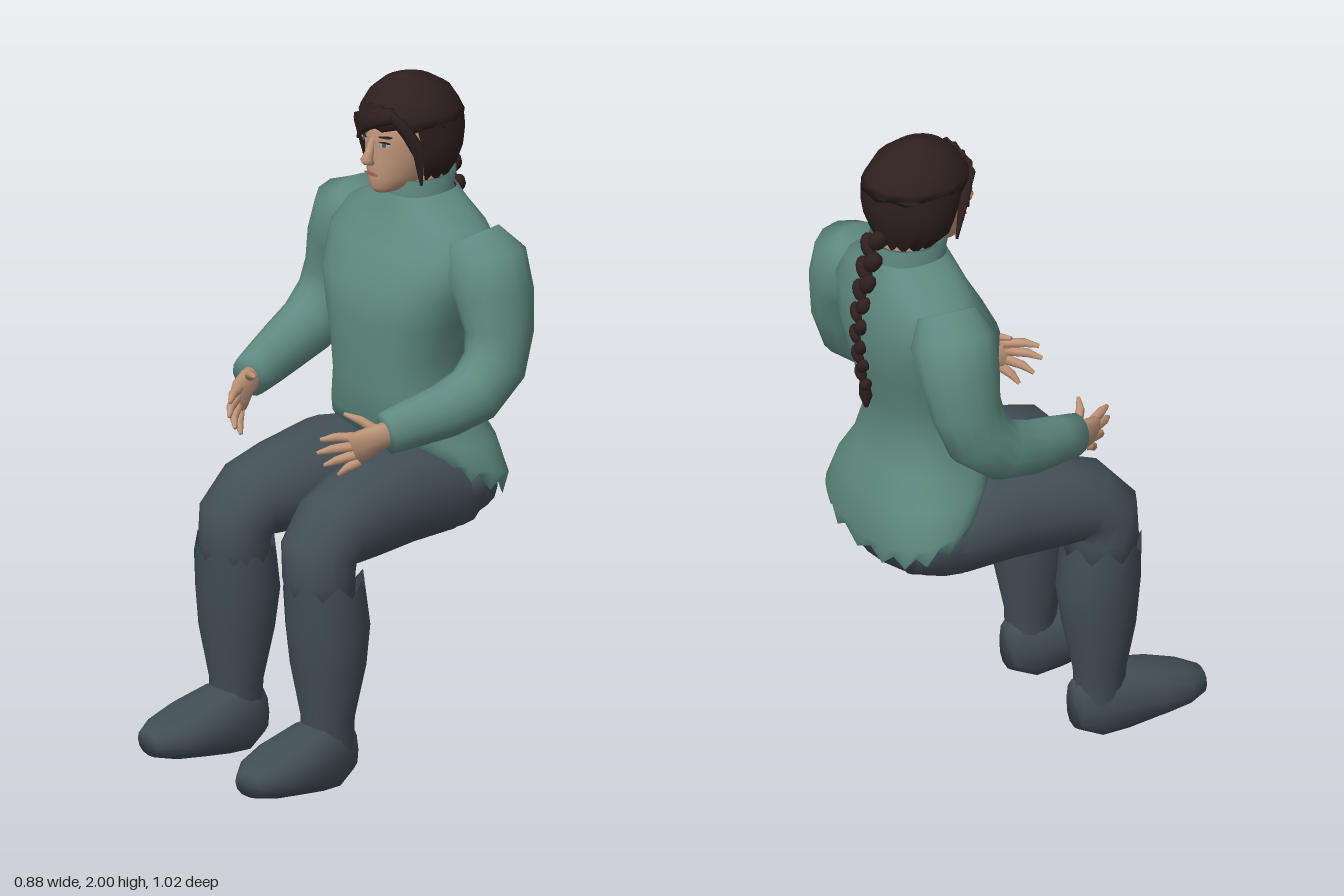
import * as THREE from 'three';

const mat = (name, color, side = THREE.FrontSide) => {
  const m = new THREE.MeshStandardMaterial({ color, side });
  m.name = name;
  return m;
};

// Skin rings [x, y, z, ru, rv, tilt, jag] into a smooth body. Flat rings lie level; others follow the path.
function loft(rings, { n = 14, flat = false, arc = null, exp = 2, caps = true } = {}) {
  const pos = [], idx = [], cols = arc ? n + 1 : n;
  const C = rings.map(r => new THREE.Vector3(r[0], r[1], r[2]));
  const pw = v => Math.sign(v) * Math.abs(v) ** (2 / exp);
  rings.forEach(([, , , ru, rv, tilt = 0, jag = 0], i) => {
    const T = flat ? new THREE.Vector3(0, 1, 0)
      : C[Math.min(i + 1, C.length - 1)].clone().sub(C[Math.max(i - 1, 0)]).normalize();
    const U = new THREE.Vector3(1, 0, 0).addScaledVector(T, -T.x).normalize();
    const V = T.clone().cross(U);
    for (let j = 0; j < cols; j++) {
      const a = arc ? arc[0] + (arc[1] - arc[0]) * j / n : j / n * Math.PI * 2;
      const p = C[i].clone().addScaledVector(U, pw(Math.cos(a)) * ru).addScaledVector(V, pw(Math.sin(a)) * rv);
      p.y += tilt * (p.z - C[i].z) + (j % 2 ? jag : 0);
      pos.push(p.x, p.y, p.z);
    }
  });
  for (let i = 0; i < rings.length - 1; i++) for (let j = 0; j < n; j++) {
    const k = arc ? j + 1 : (j + 1) % n;
    const a = i * cols + j, b = i * cols + k;
    idx.push(a, b, b + cols, a, b + cols, a + cols);
  }
  if (caps && !arc) {
    const last = (rings.length - 1) * n, s = pos.length / 3;
    for (const c of [C[0], C[C.length - 1]]) pos.push(c.x, c.y, c.z);
    for (let j = 0; j < n; j++) {
      const k = (j + 1) % n;
      idx.push(s, k, j, s + 1, last + j, last + k);
    }
  }
  const g = new THREE.BufferGeometry();
  g.setAttribute('position', new THREE.Float32BufferAttribute(pos, 3));
  g.setIndex(idx);
  g.computeVertexNormals();
  return g;
}

// Level ring given by height, front z, back z and half width
const level = (y, f, b, rx, tilt = 0, jag = 0, x = 0) => [x, y, (f + b) / 2, rx, (f - b) / 2, tilt, jag];

export function createModel() {
  const root = new THREE.Group();
  root.name = 'seatedFigure';
  const D = THREE.DoubleSide;
  const knit = mat('tealKnit', 0x5f8a81, D), cloth = mat('charcoalCloth', 0x434f57);
  const leather = mat('bootLeather', 0x414d55, D), skin = mat('skin', 0xc0967a);
  const hair = mat('darkBrownHair', 0x2e201f, D), eyeWhite = mat('eyeWhite', 0xb5aca2);
  const iris = mat('iris', 0x4f5a50), lips = mat('lips', 0x9a6a58);
  const add = (name, geo, m, parent = root) => {
    const o = new THREE.Mesh(geo, m);
    o.name = name;
    parent.add(o);
    return o;
  };

  // Sweater body with a ragged hem that rises toward the lap
  add('sweaterBody', loft([
    level(0.79, -0.21, -0.49, 0.28, 0.5, 0.035), level(0.85, -0.18, -0.507, 0.297, 0.35),
    level(0.93, -0.13, -0.49, 0.262, 0.1), level(1.0, -0.1, -0.45, 0.222), level(1.1, -0.09, -0.425, 0.195),
    level(1.2, -0.083, -0.44, 0.203), level(1.3, -0.08, -0.465, 0.23), level(1.4, -0.088, -0.485, 0.265),
    level(1.5, -0.145, -0.48, 0.285), level(1.57, -0.185, -0.46, 0.235), level(1.615, -0.2, -0.445, 0.15),
    level(1.65, -0.215, -0.435, 0.1),
  ], { n: 32, flat: true, exp: 2.4, caps: false }), knit);
  add('collar', loft([
    level(1.6, -0.2, -0.44, 0.12), level(1.65, -0.215, -0.43, 0.1), level(1.7, -0.205, -0.44, 0.108),
    level(1.698, -0.22, -0.425, 0.094), level(1.64, -0.23, -0.42, 0.088),
  ], { n: 18, flat: true, caps: false }), knit);

  // Seat of the trousers
  add('trouserSeat', loft([
    level(0.655, -0.16, -0.38, 0.17), level(0.69, -0.11, -0.455, 0.24), level(0.77, -0.1, -0.482, 0.272),
    level(0.84, -0.15, -0.48, 0.27),
  ], { n: 20, flat: true }), cloth);

  for (const s of [1, -1]) {
    const side = s > 0 ? 'left' : 'right';
    const M = rings => rings.map(r => [r[0] * s, ...r.slice(1)]);

    // Leg: thigh, knee, boot
    const leg = new THREE.Group();
    leg.name = side + 'Leg';
    root.add(leg);
    add('trouserLeg', loft(M([
      [0.13, 0.77, -0.42, 0.1, 0.09], [0.135, 0.785, -0.27, 0.145, 0.135], [0.142, 0.803, -0.1, 0.142, 0.152],
      [0.155, 0.785, 0.06, 0.132, 0.138], [0.17, 0.765, 0.16, 0.12, 0.122], [0.176, 0.72, 0.208, 0.115, 0.11],
      [0.18, 0.65, 0.212, 0.11, 0.1], [0.182, 0.55, 0.2, 0.1, 0.09],
    ])), cloth, leg);
    add('bootShaft', loft([
      level(0.13, 0.27, 0.118, 0.075, 0, 0, 0.195 * s), level(0.22, 0.268, 0.115, 0.078, 0, 0, 0.195 * s),
      level(0.38, 0.298, 0.082, 0.11, 0, 0, 0.195 * s), level(0.5, 0.312, 0.065, 0.118, 0, 0, 0.192 * s),
      level(0.61, 0.315, 0.085, 0.12, 0, 0.045, 0.19 * s),
    ], { n: 16, flat: true, caps: false }), leather, leg);
    add('bootFoot', loft(M([
      [0.19, 0.11, 0.115, 0.05, 0.075], [0.19, 0.108, 0.18, 0.082, 0.105], [0.195, 0.112, 0.26, 0.098, 0.1],
      [0.2, 0.108, 0.36, 0.108, 0.077], [0.207, 0.1, 0.45, 0.09, 0.056], [0.215, 0.095, 0.51, 0.05, 0.036],
    ]), { n: 12, exp: 2.4 }), leather, leg);

    // Arm: sleeve, palm, fingers
    const arm = new THREE.Group();
    arm.name = side + 'Arm';
    root.add(arm);
    add('sleeve', loft(M([
      [0.23, 1.56, -0.33, 0.06, 0.09], [0.272, 1.49, -0.335, 0.125, 0.125], [0.315, 1.4, -0.335, 0.106, 0.12],
      [0.342, 1.3, -0.33, 0.09, 0.105], [0.355, 1.21, -0.3, 0.085, 0.1], [0.355, 1.14, -0.22, 0.083, 0.09],
      [0.34, 1.11, -0.12, 0.075, 0.08], [0.312, 1.09, -0.02, 0.065, 0.072], [0.292, 1.075, 0.055, 0.056, 0.064],
    ]), { n: 14 }), knit, arm);
    add('palm', loft(M([
      [0.295, 1.075, 0.03, 0.028, 0.035], [0.28, 1.065, 0.075, 0.025, 0.042], [0.26, 1.045, 0.12, 0.02, 0.052],
      [0.247, 1.035, 0.145, 0.014, 0.046],
    ]), { n: 10 }), skin, arm);
    const fingers = [ // base, knuckle, tip
      ['indexFinger', [0.25, 1.072, 0.135], [0.218, 1.075, 0.185], [0.192, 1.068, 0.218]],
      ['middleFinger', [0.25, 1.047, 0.14], [0.215, 1.04, 0.195], [0.187, 1.028, 0.225]],
      ['ringFinger', [0.25, 1.02, 0.138], [0.218, 1.003, 0.18], [0.19, 0.985, 0.2]],
      ['littleFinger', [0.255, 0.998, 0.125], [0.23, 0.975, 0.15], [0.208, 0.952, 0.162]],
      ['thumb', [0.27, 1.085, 0.075], [0.235, 1.112, 0.105], [0.19, 1.122, 0.125]],
    ];
    for (const [name, a, b, c] of fingers)
      add(name, loft(M([[...a, 0.015, 0.015], [...b, 0.013, 0.013], [...c, 0.006, 0.006]]), { n: 7 }), skin, arm);
  }

  // Head
  const head = new THREE.Group();
  head.name = 'head';
  root.add(head);
  add('neck', new THREE.CylinderGeometry(0.072, 0.08, 0.16, 14).translate(0, 1.67, -0.32), skin, head);
  add('face', loft([
    level(1.668, -0.165, -0.26, 0.03), level(1.685, -0.152, -0.33, 0.055), level(1.72, -0.148, -0.4, 0.079),
    level(1.77, -0.148, -0.42, 0.094), level(1.82, -0.15, -0.43, 0.103), level(1.87, -0.148, -0.43, 0.107),
    level(1.93, -0.18, -0.41, 0.09),
  ], { n: 20, flat: true }), skin, head);
  add('nose', loft([
    [0, 1.762, -0.136, 0.02, 0.016], [0, 1.776, -0.13, 0.017, 0.02], [0, 1.8, -0.142, 0.011, 0.014],
    [0, 1.84, -0.154, 0.008, 0.009],
  ], { n: 8, flat: true }), skin, head);

  // Thin facial details laid on the face curve
  const plate = (name, x, y, w, h, lift, m, roll = 0) => {
    const z = -0.29 + 0.14 * Math.sqrt(1 - (x / 0.102) ** 2) + lift;
    const o = add(name, new THREE.CylinderGeometry(0.5, 0.5, 1, 10).rotateX(Math.PI / 2), m, head);
    o.scale.set(w, h, 0.006);
    o.position.set(x, y, z);
    o.rotation.set(0, Math.atan(x * 3.4 / Math.sqrt(1 - (x / 0.102) ** 2) * 3.5) * 0.55, roll);
  };
  for (const s of [1, -1]) {
    plate('eyeWhite', 0.043 * s, 1.822, 0.034, 0.014, 0.001, eyeWhite);
    plate('iris', 0.042 * s, 1.822, 0.013, 0.013, 0.003, iris);
    plate('upperLash', 0.043 * s, 1.83, 0.038, 0.004, 0.003, hair);
    plate('eyebrow', 0.045 * s, 1.847, 0.045, 0.007, 0.003, hair, 0.1 * s);
  }
  plate('mouth', 0, 1.728, 0.052, 0.011, 0.003, lips);

  // Hair: crown, sides and back, swept fringe
  add('hairCrown', loft([
    level(1.865, -0.142, -0.462, 0.137, 0, 0.012), level(1.9, -0.14, -0.45, 0.133), level(1.945, -0.17, -0.42, 0.11),
    level(1.98, -0.21, -0.365, 0.068), level(2.0, -0.27, -0.3, 0.012),
  ], { n: 20, flat: true }), hair, head);
  add('hairBack', loft([
    level(1.685, -0.25, -0.41, 0.085, 0, 0.02), level(1.73, -0.2, -0.43, 0.122, 0, 0.01), level(1.78, -0.18, -0.45, 0.137),
    level(1.83, -0.16, -0.46, 0.14), level(1.88, -0.145, -0.457, 0.136),
  ], { n: 20, flat: true, arc: [-0.55, Math.PI + 0.65] }), hair, head);
  const locks = [ // root, middle, tip
    [[0.07, 1.92, -0.165], [-0.02, 1.885, -0.142], [-0.1, 1.8, -0.185]],
    [[0.04, 1.92, -0.16], [-0.05, 1.875, -0.152], [-0.112, 1.77, -0.21]],
    [[0.0, 1.92, -0.16], [-0.08, 1.85, -0.18], [-0.115, 1.715, -0.23]],
    [[0.05, 1.92, -0.165], [0.1, 1.875, -0.19], [0.118, 1.78, -0.22]],
    [[0.08, 1.9, -0.18], [0.12, 1.82, -0.22], [0.11, 1.7, -0.24]],
  ];
  for (const [a, b, c] of locks) {
    const tube = [[...a, 0.026, 0.018], [...b, 0.03, 0.014], [...c, 0.004, 0.004]];
    add('fringeLock', loft(tube, { n: 6 }), hair, head);
  }

  // Braid: crossing tufts along a curve, ending in a tail
  const braid = new THREE.Group();
  braid.name = 'braid';
  root.add(braid);
  const path = new THREE.CatmullRomCurve3([[0, 1.72, -0.43], [0, 1.56, -0.468], [0, 1.4, -0.485], [0, 1.25, -0.468]]
    .map(p => new THREE.Vector3(...p)));
  const N = 15;
  for (let i = 0; i < N; i++) {
    const t = i / (N - 1), s = i % 2 ? 1 : -1, w = 1 - 0.4 * t;
    const tuft = add('braidTuft', new THREE.SphereGeometry(1, 8, 6), hair, braid);
    tuft.position.copy(path.getPoint(t)).add(new THREE.Vector3(s * 0.017 * w, 0, 0));
    tuft.scale.set(0.028 * w, 0.042 * w, 0.03 * w);
    tuft.rotation.z = -s * 0.6;
  }
  add('braidTail', loft([
    [0, 1.17, -0.46, 0.005, 0.006], [0, 1.21, -0.462, 0.02, 0.02], [0, 1.26, -0.468, 0.012, 0.014],
  ], { n: 8, flat: true }), hair, braid);

  return root;
}
